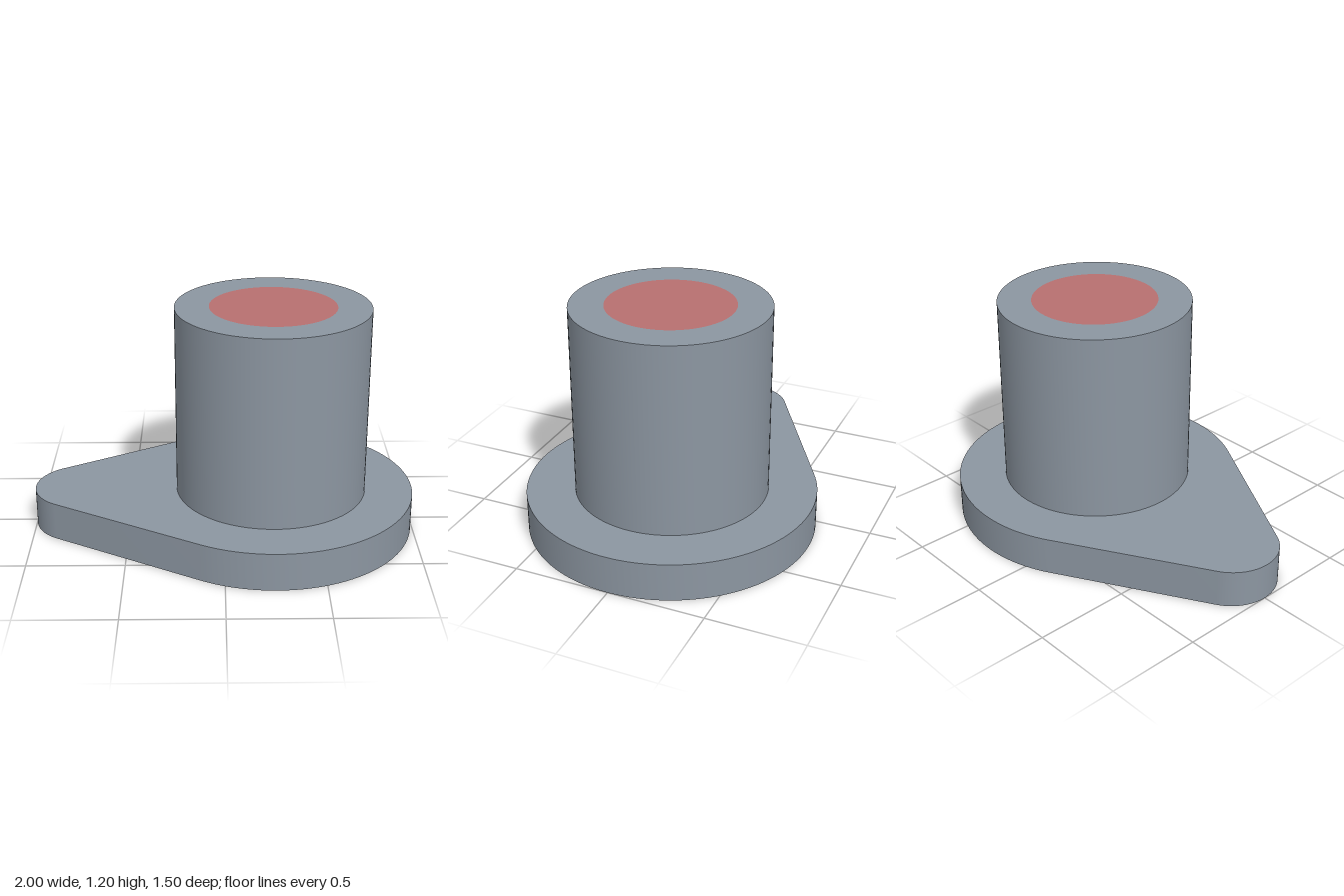
import * as THREE from 'three';
import { toCreasedNormals } from 'three/addons/utils/BufferGeometryUtils.js';

const AXIS_X = 0.25; // shared axis of the boss, the core and the round end of the flange
const CORE_R = 0.325;

const steel = new THREE.MeshStandardMaterial({ color: 0x8c96a1 });
steel.name = 'steel grey';
const red = new THREE.MeshStandardMaterial({ color: 0xb87070 });
red.name = 'muted red';

// Extrude a plan outline upwards, leaving room for the core
function slab(name, outline, y, height) {
  const hole = new THREE.Path();
  hole.absarc(AXIS_X, 0, CORE_R, 0, Math.PI * 2, true);
  outline.holes.push(hole);
  let geometry = new THREE.ExtrudeGeometry(outline, { depth: height, bevelEnabled: false, curveSegments: 48 });
  geometry.rotateX(-Math.PI / 2);
  geometry = toCreasedNormals(geometry, Math.PI / 6);
  const mesh = new THREE.Mesh(geometry, steel);
  mesh.name = name;
  mesh.position.y = y;
  return mesh;
}

export function createModel() {
  const group = new THREE.Group();
  group.name = 'flangedBoss';

  // Teardrop flange: a large and a small arc joined by tangent lines
  const a = Math.PI * 2 / 3;
  const teardrop = new THREE.Shape();
  teardrop.absarc(AXIS_X, 0, 0.75, -a, a, false);
  teardrop.absarc(-0.75, 0, 0.25, a, 2 * a, false);
  teardrop.closePath();
  group.add(slab('flange', teardrop, 0, 0.2));

  // Upright cylindrical boss
  const circle = new THREE.Shape();
  circle.absarc(AXIS_X, 0, 0.5, 0, Math.PI * 2, false);
  group.add(slab('boss', circle, 0.2, 1));

  // Red core running through, flush at both ends
  const core = new THREE.Mesh(new THREE.CylinderGeometry(CORE_R, CORE_R, 1.2, 96), red);
  core.name = 'core';
  core.position.set(AXIS_X, 0.6, 0);
  group.add(core);

  return group;
}
